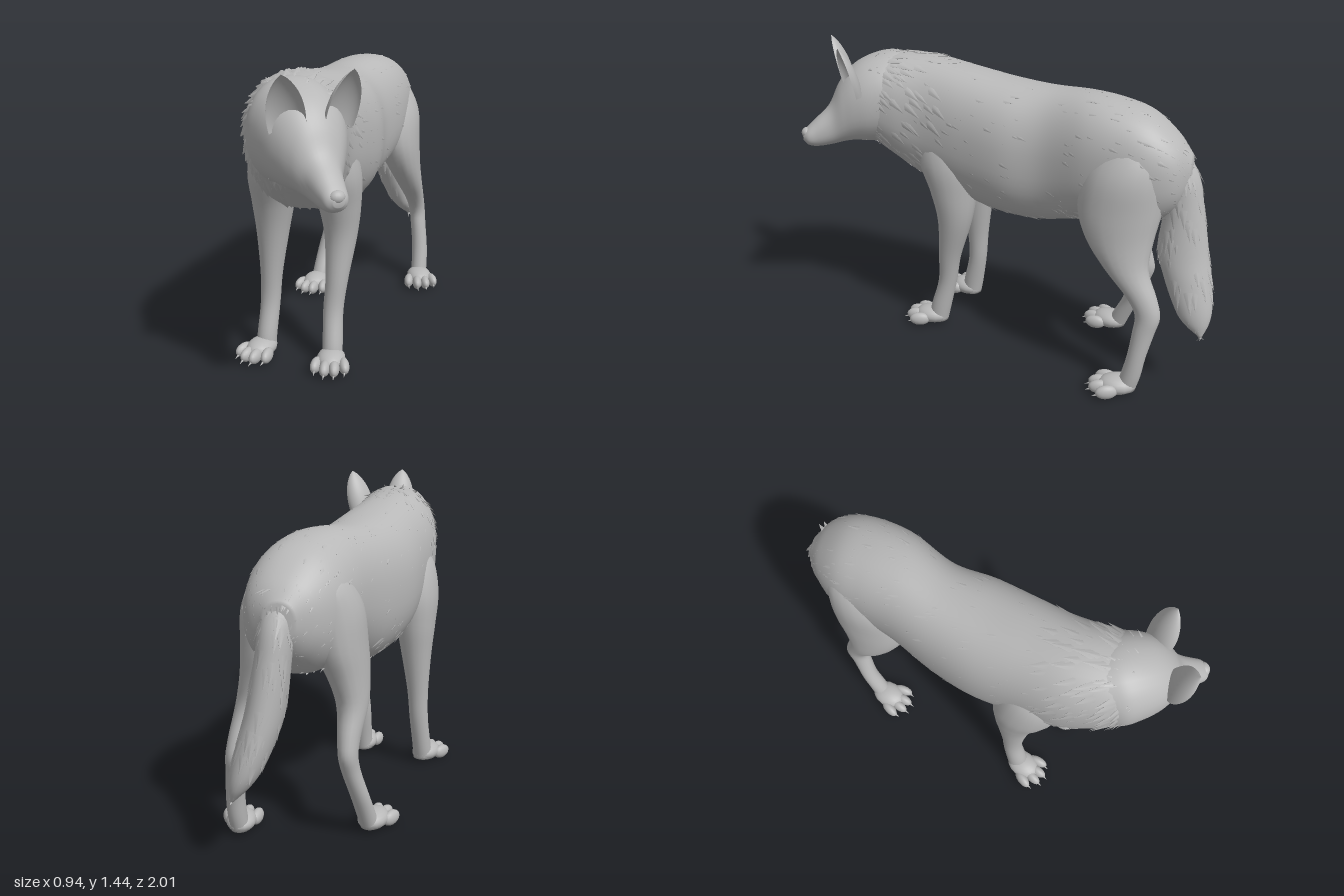
import * as THREE from 'three';
import { mergeGeometries } from 'three/addons/utils/BufferGeometryUtils.js';

const coat = new THREE.MeshStandardMaterial({ color: 0xb8b8b8 });
coat.name = 'grey coat';
coat.side = THREE.DoubleSide;

let seed = 7;
const rand = () => (seed = (seed * 16807) % 2147483647) / 2147483647;

function mesh(geometry, name) {
  const m = new THREE.Mesh(geometry, coat);
  m.name = name;
  return m;
}

// Smooth closed loft along axis k (0 x, 1 y, 2 z); stations [x, y, z, ru, rv] increase along k
function loft(stations, k, rings, sides, power = 1) {
  const centre = new THREE.CatmullRomCurve3(stations.map(s => new THREE.Vector3(s[0], s[1], s[2])), false, 'catmullrom', 0.5);
  const radius = new THREE.CatmullRomCurve3(stations.map(s => new THREE.Vector3(s[3], s[4], 0)), false, 'catmullrom', 0.5);
  const u = (k + 1) % 3, v = (k + 2) % 3, pos = [], index = [];
  const bend = c => Math.sign(c) * Math.abs(c) ** power;
  for (let i = 0; i <= rings; i++) {
    const c = centre.getPoint(i / rings).toArray(), r = radius.getPoint(i / rings);
    for (let j = 0; j < sides; j++) {
      const a = j / sides * Math.PI * 2, p = [...c];
      p[u] += Math.max(r.x, 0.003) * bend(Math.cos(a));
      p[v] += Math.max(r.y, 0.003) * bend(Math.sin(a));
      pos.push(...p);
    }
  }
  const s = pos.length / 3, e = s + 1;
  pos.push(...centre.getPoint(0).toArray(), ...centre.getPoint(1).toArray());
  for (let j = 0; j < sides; j++) {
    const n = (j + 1) % sides, last = rings * sides;
    for (let i = 0; i < rings; i++) {
      const a = i * sides + j, b = i * sides + n;
      index.push(a, b, b + sides, a, b + sides, a + sides);
    }
    index.push(s, n, j, e, last + j, last + n);
  }
  const g = new THREE.BufferGeometry();
  g.setAttribute('position', new THREE.Float32BufferAttribute(pos, 3));
  g.setIndex(index);
  g.computeVertexNormals();
  return g;
}

// Flat pointed locks lying on a surface along the direction dir(point); size(point) gives the length
function locks(surface, count, dir, size) {
  const P = surface.attributes.position, N = surface.attributes.normal, parts = [];
  for (let i = 0; i < count; i++) {
    const id = Math.floor(rand() * (P.count - 2));
    const p = new THREE.Vector3().fromBufferAttribute(P, id), n = new THREE.Vector3().fromBufferAttribute(N, id);
    p.addScaledVector(n, -0.004);
    const len = size(p) * (0.7 + rand() * 0.6);
    const along = dir(p).addScaledVector(n, -dir(p).dot(n)).normalize().addScaledVector(n, 0.1).normalize();
    const side = new THREE.Vector3().crossVectors(along, n).normalize();
    const out = new THREE.Vector3().crossVectors(side, along);
    const g = new THREE.ConeGeometry(len * 0.26, len, 6, 1, true).translate(0, len * 0.4, 0).scale(1, 1, 0.22);
    parts.push(g.applyMatrix4(new THREE.Matrix4().makeBasis(side, along, out).setPosition(p)));
  }
  return mergeGeometries(parts);
}

// Leg from rows [x, y, z, depth, width]
const leg = rows => loft(rows, 1, 44, 20);

function paw(name, x, z, yaw) {
  const g = new THREE.Group();
  g.name = name;
  const ball = new THREE.SphereGeometry(1, 16, 12);
  const pad = mesh(ball, 'pawPad');
  pad.scale.set(0.066, 0.045, 0.088);
  pad.position.set(0, 0.044, 0.035);
  g.add(pad);
  for (const i of [-1.5, -0.5, 0.5, 1.5]) {
    const reach = Math.abs(i) < 1 ? 0.115 : 0.085;
    const toe = mesh(ball, 'toe');
    toe.scale.set(0.025, 0.034, 0.052);
    toe.position.set(i * 0.042, 0.035, reach);
    toe.rotation.y = i * 0.15;
    const claw = mesh(new THREE.ConeGeometry(0.009, 0.04, 6), 'claw');
    claw.position.set(i * 0.046, 0.02, reach + 0.05);
    claw.rotation.x = Math.PI / 2 + 0.35;
    g.add(toe, claw);
  }
  g.position.set(x, 0, z);
  g.rotation.y = yaw;
  return g;
}

// Cupped, pointed ear opening forwards
function earGeometry() {
  const pos = [], index = [], rows = 16, cols = 16;
  for (let i = 0; i <= rows; i++) for (let j = 0; j <= cols; j++) {
    const t = i / rows, a = (j / cols * 2 - 1) * 1.6;
    const w = 0.078 * Math.pow(1 - t * t, 0.8) * (0.9 + 0.45 * t);
    pos.push(w * Math.sin(a), t * 0.23, -w * 0.7 * Math.cos(a) + 0.06 * t);
    if (i < rows && j < cols) {
      const q = i * (cols + 1) + j;
      index.push(q, q + cols + 1, q + 1, q + 1, q + cols + 1, q + cols + 2);
    }
  }
  const g = new THREE.BufferGeometry();
  g.setAttribute('position', new THREE.Float32BufferAttribute(pos, 3));
  g.setIndex(index);
  g.computeVertexNormals();
  return g;
}

function head() {
  const g = new THREE.Group();
  g.name = 'head';
  // rows: distance behind the nose, top, bottom, half width
  const rows = [[0.52, 1.37, 0.95, 0.16], [0.44, 1.385, 0.94, 0.195], [0.36, 1.375, 0.95, 0.19], [0.28, 1.345, 0.955, 0.17],
    [0.22, 1.3, 0.96, 0.142], [0.17, 1.235, 0.955, 0.11], [0.12, 1.14, 0.945, 0.078], [0.05, 1.075, 0.94, 0.06],
    [0.005, 1.035, 0.95, 0.048], [-0.018, 1.01, 0.975, 0.022]];
  g.add(mesh(loft(rows.map(([d, t, b, w]) => [0, (t + b) / 2, -d, w, (t - b) / 2]), 2, 50, 32, 0.92), 'skullAndMuzzle'));
  const nose = mesh(new THREE.SphereGeometry(1, 16, 12), 'nose');
  nose.scale.set(0.032, 0.026, 0.026);
  nose.position.set(0, 1.01, -0.002);
  g.add(nose);
  for (const s of [-1, 1]) {
    const ear = mesh(earGeometry(), s > 0 ? 'leftEar' : 'rightEar');
    ear.position.set(s * 0.105, 1.215, -0.215);
    ear.rotation.set(0, s * 0.25, -s * 0.12);
    g.add(ear);
  }
  g.position.set(0.075, 0, 0.98);
  g.rotation.y = Math.PI / 6;
  return g;
}

export function createModel() {
  const wolf = new THREE.Group();
  wolf.name = 'wolf';

  // Curved trunk and neck: z, centre x, top, bottom, half width
  const trunk = [[-0.86, 0.13, 1.08, 0.93, 0.06], [-0.79, 0.13, 1.17, 0.83, 0.15], [-0.68, 0.11, 1.255, 0.75, 0.205],
    [-0.55, 0.09, 1.295, 0.75, 0.22], [-0.4, 0.055, 1.31, 0.73, 0.225], [-0.2, -0.02, 1.3, 0.665, 0.225],
    [0, -0.06, 1.315, 0.665, 0.248], [0.2, -0.1, 1.345, 0.705, 0.238], [0.4, -0.14, 1.375, 0.77, 0.225],
    [0.55, -0.14, 1.38, 0.86, 0.212], [0.66, -0.13, 1.365, 0.94, 0.19], [0.73, -0.105, 1.32, 1.0, 0.15], [0.77, -0.08, 1.25, 1.07, 0.08]];
  const body = loft(trunk.map(([z, x, t, b, w]) => [x, (t + b) / 2, z, w, (t - b) / 2]), 2, 90, 48, 0.88);
  wolf.add(mesh(body, 'body'));
  wolf.add(mesh(locks(body, 800,
    p => new THREE.Vector3(0, p.z > 0.3 ? -0.8 : -0.45, -1),
    p => p.z < -0.72 ? 0.04 : p.z > 0.3 ? 0.08 : p.y < 0.8 ? 0.075 : 0.055), 'coatLocks'));

  wolf.add(head());

  // Tail hanging down to the left
  const tail = loft([[0.305, 0.3, -0.96, 0.008, 0.008], [0.278, 0.36, -0.932, 0.062, 0.045], [0.252, 0.43, -0.912, 0.088, 0.066],
    [0.218, 0.54, -0.88, 0.106, 0.078], [0.188, 0.66, -0.85, 0.112, 0.08], [0.16, 0.85, -0.838, 0.088, 0.074],
    [0.145, 1.0, -0.81, 0.08, 0.07], [0.13, 1.14, -0.745, 0.055, 0.055]], 1, 50, 24);
  wolf.add(mesh(tail, 'tail'));
  wolf.add(mesh(locks(tail, 190, () => new THREE.Vector3(0.15, -1, -0.15), p => p.y > 0.45 ? 0.075 : 0.03), 'tailLocks'));

  // Forelegs: height, depth, width
  const foreSize = [[0.02, 0.048, 0.048], [0.1, 0.052, 0.047], [0.25, 0.047, 0.047], [0.4, 0.056, 0.053], [0.6, 0.084, 0.076],
    [0.75, 0.115, 0.098], [0.9, 0.15, 0.115], [1.05, 0.13, 0.095], [1.17, 0.05, 0.04]];
  // Hind legs: height, depth, width
  const hindSize = [[0.02, 0.046, 0.042], [0.1, 0.045, 0.042], [0.2, 0.042, 0.041], [0.32, 0.049, 0.041], [0.4, 0.056, 0.043],
    [0.48, 0.068, 0.05], [0.6, 0.1, 0.069], [0.72, 0.15, 0.092], [0.85, 0.185, 0.118], [1.0, 0.18, 0.134], [1.12, 0.14, 0.105], [1.22, 0.05, 0.04]];
  // each path lists x, z for every row of the size table
  const legs = [
    ['leftForeleg', foreSize, [[-0.012, 0.365], [-0.01, 0.35], [-0.01, 0.312], [0.005, 0.292], [0.02, 0.257], [0.015, 0.26], [0, 0.28], [-0.02, 0.3], [-0.04, 0.3]], 0],
    ['rightForeleg', foreSize, [[-0.335, 0.28], [-0.328, 0.268], [-0.314, 0.24], [-0.306, 0.235], [-0.295, 0.235], [-0.288, 0.245], [-0.28, 0.275], [-0.27, 0.3], [-0.24, 0.3]], -0.42],
    ['leftHindLeg', hindSize, [[0.372, -0.65], [0.377, -0.672], [0.376, -0.692], [0.365, -0.715], [0.357, -0.727], [0.342, -0.695],
      [0.31, -0.615], [0.275, -0.575], [0.243, -0.565], [0.218, -0.58], [0.195, -0.6], [0.17, -0.6]], 0.15],
    ['rightHindLeg', hindSize, [[-0.18, -0.53], [-0.165, -0.562], [-0.145, -0.605], [-0.115, -0.64], [-0.105, -0.657], [-0.105, -0.63],
      [-0.108, -0.565], [-0.085, -0.535], [-0.05, -0.54], [-0.02, -0.56], [0, -0.59], [0.02, -0.6]], -0.3]];
  for (const [name, size, path, yaw] of legs) {
    wolf.add(mesh(leg(size.map(([y, d, w], i) => [path[i][0], y, path[i][1], d, w])), name));
    wolf.add(paw(name + 'Paw', path[0][0], path[0][1], yaw));
  }
  return wolf;
}
